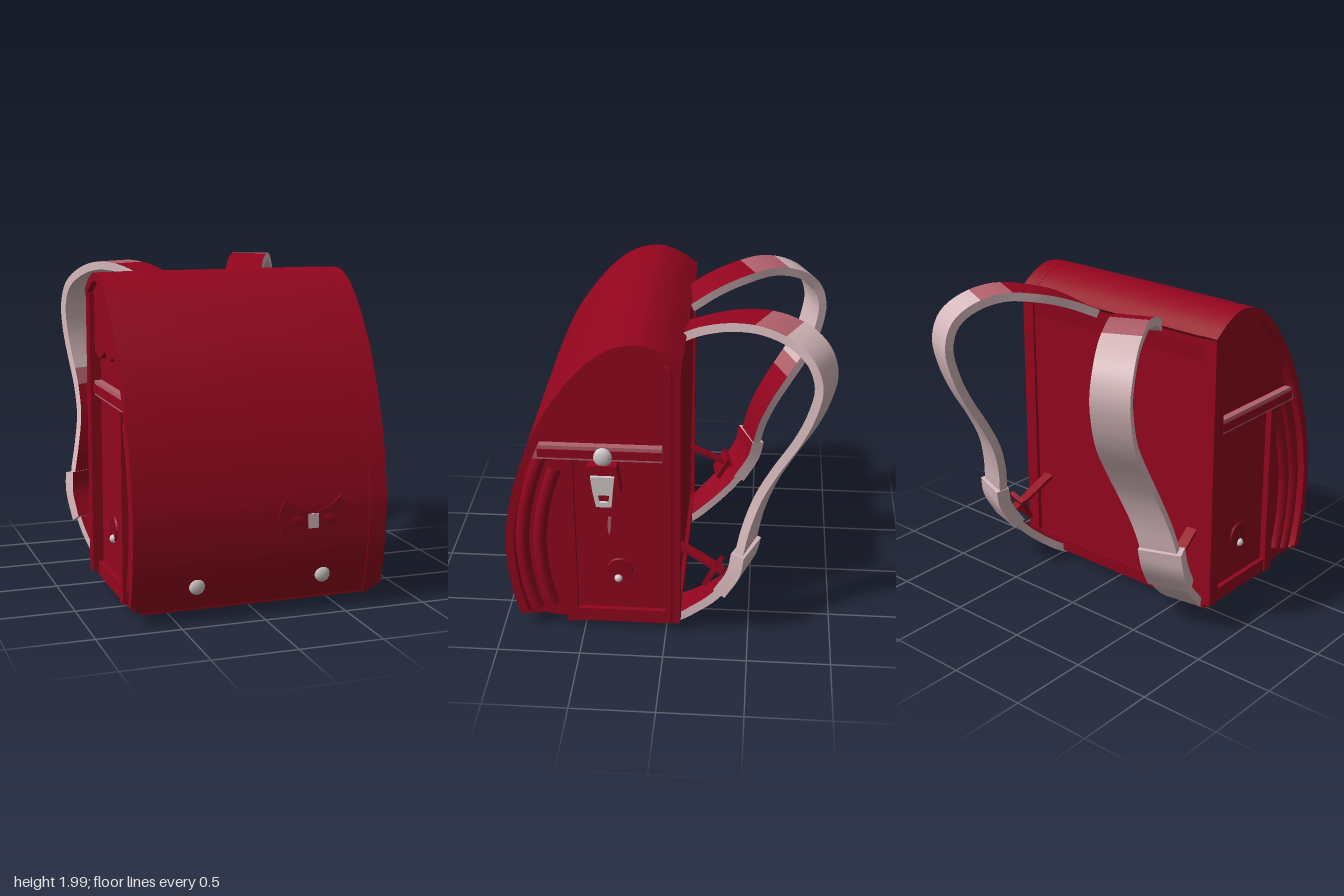
import * as THREE from 'three';
import { toCreasedNormals } from 'three/addons/utils/BufferGeometryUtils.js';
import { ParametricGeometry } from 'three/addons/geometries/ParametricGeometry.js';

const mat = (name, color) => Object.assign(new THREE.MeshStandardMaterial({ color }), { name });
const V2 = (z, y) => new THREE.Vector2(z, y);

export function createModel() {
  const red = mat('red leather', 0x93051e);
  const trim = mat('dark red trim', 0x89041b);
  const rose = mat('rose leather', 0xb0606b);
  const pink = mat('pale pink strap', 0xd6b8bb);
  const silver = mat('silver metal', 0xd4cbcb);
  const model = new THREE.Group();
  model.name = 'schoolBackpack';

  const add = (name, geo, material, x = 0, y = 0, z = 0) => {
    const m = new THREE.Mesh(geo, material);
    m.name = name;
    m.position.set(x, y, z);
    model.add(m);
    return m;
  };
  const box = (name, m, x0, x1, y0, y1, z0, z1) =>
    add(name, new THREE.BoxGeometry(Math.abs(x1 - x0), y1 - y0, z1 - z0), m, (x0 + x1) / 2, (y0 + y1) / 2, (z0 + z1) / 2);

  // Extrudes a (z, y) outline sideways between two x positions
  const sideways = (name, m, pts, x0, x1, holes = []) => {
    const flip = a => a.map(p => V2(-p.x, p.y));
    const shape = new THREE.Shape(flip(pts));
    holes.forEach(h => shape.holes.push(new THREE.Path(flip(h))));
    const geo = new THREE.ExtrudeGeometry(shape, { depth: Math.abs(x1 - x0), bevelEnabled: false });
    geo.rotateY(Math.PI / 2).translate(Math.min(x0, x1), 0, 0);
    return add(name, toCreasedNormals(geo, 0.6), m);
  };

  // Side profile of the flap, from the back of the top to the front hem
  const profile = new THREE.SplineCurve([
    [-0.09, 1.82], [0, 1.885], [0.1, 1.93], [0.18, 1.938], [0.3, 1.91], [0.42, 1.83], [0.55, 1.69], [0.7, 1.47],
    [0.82, 1.2], [0.9, 0.95], [0.945, 0.7], [0.95, 0.55], [0.935, 0.35], [0.9, 0.17], [0.87, 0.08],
  ].map(p => V2(...p)));
  const at = (s, off) => {
    const t = profile.getTangent(s);
    return profile.getPoint(s).add(V2(-t.y, t.x).multiplyScalar(off));
  };
  const line = (off, a = 0, b = 1, n = 40) =>
    Array.from({ length: n + 1 }, (_, i) => at(a + (b - a) * i / n, off));
  const sAtY = y => {
    let lo = 0.25, hi = 1;
    for (let i = 0; i < 24; i++) {
      const mid = (lo + hi) / 2;
      if (profile.getPoint(mid).y > y) lo = mid; else hi = mid;
    }
    return lo;
  };
  const band = (o, i, end = 1) => [...line(o, 0, end), ...line(i, 0, end).reverse()];

  // Main body, flap and raised cover with a wavy hem
  sideways('body', red, [...line(-0.025), V2(0.8, 0.08), V2(0.58, 0.05), V2(-0.06, 0.05)], -0.7, 0.7);
  sideways('flap', red, band(0, -0.035), -0.66, 0.66);
  const hem = [[-0.66, 0.47], [-0.4, 0.41], [-0.2, 0.37], [0.1, 0.34], [0.3, 0.41], [0.45, 0.38], [0.66, 0.44]];
  const hemY = x => {
    const i = Math.min(hem.length - 2, Math.max(0, hem.findIndex(h => h[0] >= x) - 1));
    const [a, b] = [hem[i], hem[i + 1]];
    return a[1] + (b[1] - a[1]) * (x - a[0]) / (b[0] - a[0]);
  };
  add('flapCover', new ParametricGeometry((u, v, p) => {
    const x = 0.655 - 1.31 * u;
    const q = at(v * sAtY(hemY(x)), 0.008);
    p.set(x, q.y, q.x);
  }, 36, 40), red);

  // Back frame and base layers
  box('backTopBand', trim, -0.7, 0.7, 1.66, 1.8, -0.075, 0);
  box('backBottomBand', trim, -0.72, 0.72, 0.05, 0.13, -0.085, 0);
  box('basePlate', trim, -0.72, 0.72, 0.04, 0.07, 0.5, 0.6);
  box('frontHem', trim, -0.7, 0.7, 0.065, 0.1, 0.78, 0.87);

  for (const s of [1, -1]) {
    // Flap edge stepped in at the hem corner, back piping and gussets
    sideways('flapEdge', red, band(0.006, -0.045), s * 0.66, s * 0.715);
    sideways('flapEdge', red, band(0.006, -0.045, 0.985), s * 0.715, s * 0.75);
    sideways('flapEdge', red, band(0.006, -0.045, 0.965), s * 0.75, s * 0.77);
    box('backEdge', red, s * 0.68, s * 0.765, 0.08, 1.81, -0.088, 0);
    add('backPiping', new THREE.CylinderGeometry(0.025, 0.025, 1.72, 10), trim, s * 0.745, 0.94, -0.03);
    sideways('upperSidePanel', red, [...line(-0.04, 0.02, sAtY(1.44)), V2(0.55, 1.45), V2(0.42, 1.47), V2(0.34, 1.44),
      V2(0.24, 1.48), V2(0.12, 1.43), V2(0, 1.46)], s * 0.69, s * 0.735);
    for (const [off, y] of [[-0.085, 1.28], [-0.19, 1.19]]) {
      const path = line(off, sAtY(y), 0.99, 12).map(p => new THREE.Vector3(s * 0.7, p.y, p.x));
      add('gussetFold', new THREE.TubeGeometry(new THREE.CatmullRomCurve3(path), 24, 0.042, 10), red);
    }
    box('compartmentEdge', red, s * 0.69, s * 0.74, 0.05, 1.2, 0.54, 0.61);
    box('sidePocketBase', red, s * 0.69, s * 0.73, 0.05, 0.14, 0, 0.55);

    // Reinforcing bar, rivet and front stud
    box('sideBar', rose, s * 0.69, s * 0.745, 1.195, 1.285, 0.02, 0.78);
    box('sideBarInlay', red, s * 0.7, s * 0.752, 1.21, 1.262, 0.02, 0.74);
    const patch = add('rivetPatch', new THREE.CylinderGeometry(0.075, 0.085, 0.02, 16), trim, s * 0.7, 0.42, 0.28);
    patch.rotation.z = -s * Math.PI / 2;
    add('sideRivet', new THREE.SphereGeometry(0.026, 12, 8), silver, s * 0.708, 0.36, 0.29);
    const stud = add('frontStud', new THREE.SphereGeometry(0.048, 16, 10), silver, s * 0.385, 0.215, 0.91);
    stud.scale.z = 0.45;
    addStrap(s);
  }

  // Lock on the left side, with a narrow shiny strip below
  sideways('lockTab', red, [V2(0.28, 1.18), V2(0.45, 1.18), V2(0.475, 1.0), V2(0.43, 0.91), V2(0.3, 0.91), V2(0.255, 1.0)], 0.69, 0.785);
  const knob = add('lockKnob', new THREE.SphereGeometry(0.055, 14, 10), silver, 0.755, 1.225, 0.36);
  knob.scale.set(0.5, 1.1, 1);
  sideways('lockPlate', silver, [V2(0.29, 1.12), V2(0.43, 1.12), V2(0.42, 1.03), V2(0.4, 0.92), V2(0.31, 0.92), V2(0.3, 1.03)], 0.76, 0.805,
    [[V2(0.32, 1.0), V2(0.39, 1.0), V2(0.38, 0.95), V2(0.33, 0.95)]]);
  sideways('sideStrip', rose, [V2(0.325, 0.79), V2(0.345, 0.79), V2(0.35, 0.72), V2(0.342, 0.66), V2(0.332, 0.7)], 0.699, 0.706);

  // Bow
  for (const s of [1, -1]) {
    const wing = new THREE.Shape([[0.01, 0.04], [0.1, 0.07], [0.17, 0.13], [0.2, 0.08], [0.215, 0.01], [0.19, -0.1],
      [0.12, -0.085], [0.06, -0.09], [0.01, -0.04]].map(([x, y]) => V2(s * x, y)));
    add('bowWing', new THREE.ExtrudeGeometry(wing, { depth: 0.025, bevelEnabled: false }), trim, 0.3, 0.565, 0.945);
    const fold = add('bowFold', new THREE.SphereGeometry(0.07, 12, 8), red, 0.3 + s * 0.1, 0.565, 0.962);
    fold.scale.set(1, 0.6, 0.16);
  }
  box('bowKnot', pink, 0.268, 0.332, 0.515, 0.6, 0.945, 0.976);

  // Flat band swept along [x, y, z, yaw] points; each face picks its own material
  function sweep(name, keys, s, halfW, halfD, n, pick) {
    const path = new THREE.CatmullRomCurve3(keys.map(k => new THREE.Vector3(s * k[0], k[1], k[2])));
    const rings = [];
    for (let i = 0; i <= n; i++) {
      const u = i / n, f = u * (keys.length - 1), j = Math.min(keys.length - 2, Math.floor(f));
      const yaw = s * THREE.MathUtils.lerp(keys[j][3], keys[j + 1][3], f - j);
      const w = new THREE.Vector3(Math.cos(yaw), 0, Math.sin(yaw));
      const d = w.clone().cross(path.getTangent(u)).normalize().multiplyScalar(halfD);
      w.multiplyScalar(halfW);
      const c = path.getPoint(u);
      rings.push([[1, 1], [-1, 1], [-1, -1], [1, -1]].map(([a, b]) => c.clone().addScaledVector(w, a).addScaledVector(d, b)));
    }
    const buckets = new Map();
    const quad = (m, a, b, c, d) => {
      if (!buckets.has(m)) buckets.set(m, []);
      for (const p of [a, b, c, a, c, d]) buckets.get(m).push(p.x, p.y, p.z);
    };
    for (let i = 0; i < n; i++) for (let k = 0; k < 4; k++) {
      const [A, B, l] = [rings[i], rings[i + 1], (k + 1) % 4];
      quad(pick(k, A[k]), A[k], B[k], B[l], A[l]);
    }
    quad(pick(1, rings[0][0]), ...rings[0]);
    quad(pick(1, rings[n][0]), ...[...rings[n]].reverse());
    for (const [m, pos] of buckets) {
      const geo = new THREE.BufferGeometry();
      geo.setAttribute('position', new THREE.Float32BufferAttribute(pos, 3));
      add(name, toCreasedNormals(geo, 0.7), m);
    }
  }

  // Shoulder strap, its slider cover and the small buckle strip
  function addStrap(s) {
    // The right strap droops slightly at its crest
    const droop = s > 0 ? 0 : 0.04;
    const keys = [
      [0.23, 1.79, -0.07, 0.25], [0.3, 1.875, -0.22, 0.4], [0.38, 1.94, -0.4, 0.45], [0.48, 1.968, -0.58, 0.45],
      [0.56, 1.93, -0.74, 0.45], [0.62, 1.84, -0.85, 0.42], [0.64, 1.7, -0.895, 0.4], [0.635, 1.52, -0.86, 0.4],
      [0.62, 1.35, -0.79, 0.4], [0.605, 1.15, -0.675, 0.4], [0.61, 0.97, -0.58, 0.38], [0.645, 0.78, -0.51, 0.35],
      [0.68, 0.6, -0.47, 0.35], [0.68, 0.45, -0.43, 0.35], [0.66, 0.3, -0.33, 0.3], [0.62, 0.17, -0.2, 0.25],
      [0.57, 0.06, -0.06, 0.1], [0.545, 0.03, 0.05, 0], [0.53, 0.045, 0.18, 0],
    ].map(([x, y, z, a]) => {
      const t = droop * THREE.MathUtils.smoothstep(-z, 0.1, 0.8) * THREE.MathUtils.smoothstep(y, 1.2, 1.8);
      return [x, y - t, z + t, a];
    });
    sweep('shoulderStrap', keys, s, 0.115, 0.026, 72, (k, p) => {
      if (k === 0 && p.y > 1.5 && p.z > -0.46) return red;
      if (k === 0 && p.y > 1.5 && p.z > -0.65) return rose;
      if (k === 2 && p.y < 1.2) return red;
      return k === 2 && p.y < 1.27 ? rose : pink;
    });
    sweep('strapSlider', [[0.69, 0.62, -0.475, 0.38], [0.695, 0.5, -0.45, 0.35], [0.675, 0.34, -0.36, 0.3]],
      s, 0.132, 0.042, 8, k => (k === 2 ? red : pink));
    sweep('buckleStrip', [[0.6, 0.555, -0.06, 0.1], [0.62, 0.48, -0.2, 0.2], [0.65, 0.4, -0.34, 0.3]], s, 0.035, 0.01, 6, () => red);
    const buckle = add('buckle', new THREE.BoxGeometry(0.14, 0.16, 0.03), trim, s * 0.65, 0.4, -0.28);
    buckle.rotation.set(-0.5, -s * 0.25, 0);
  }
  return model;
}
